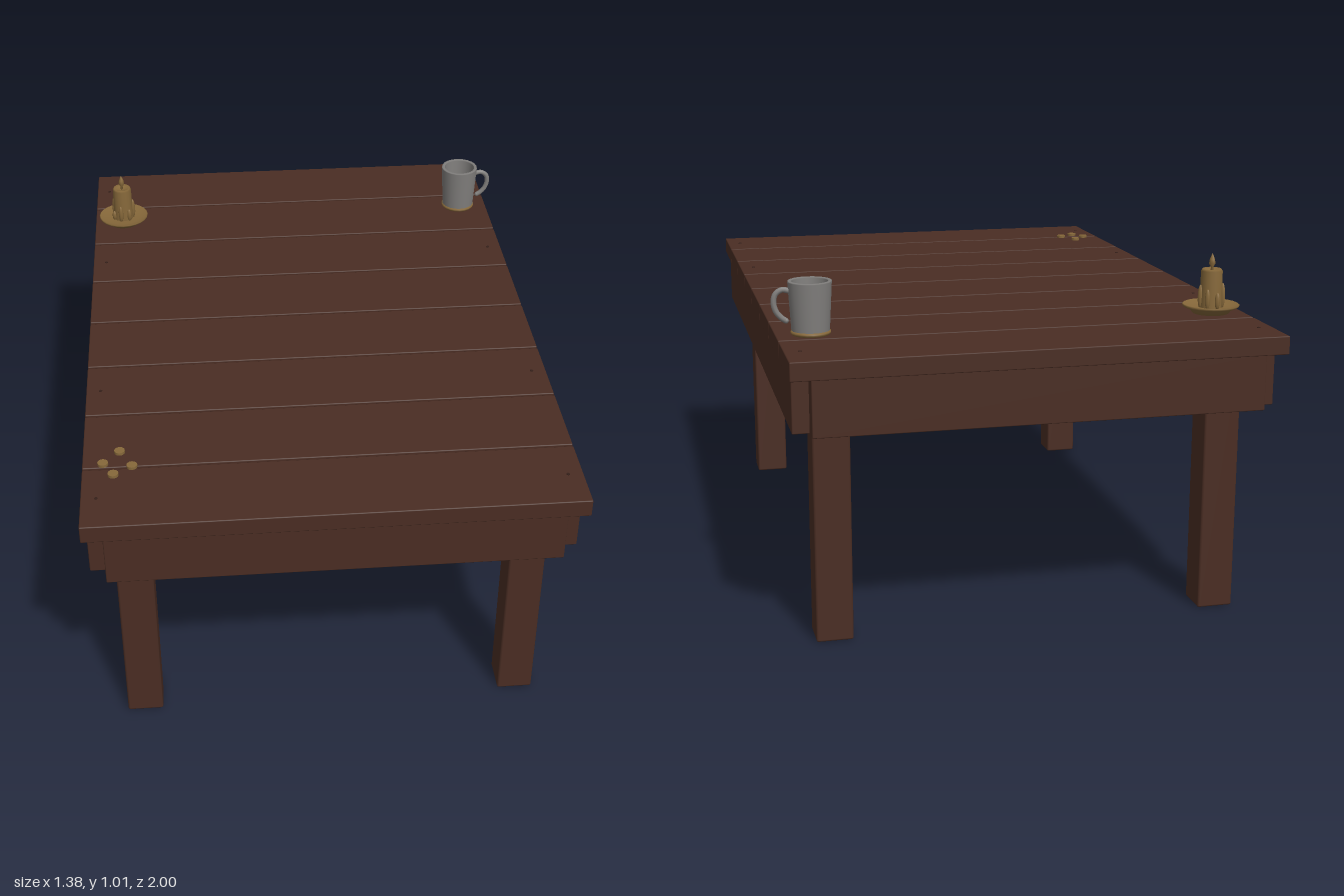
import * as THREE from 'three';
import { RoundedBoxGeometry } from 'three/addons/geometries/RoundedBoxGeometry.js';

export function createModel() {
  const model = new THREE.Group();
  model.name = 'tableWithMugAndCandle';
  const wood = new THREE.MeshStandardMaterial({ name: 'dark wood', color: 0x4a2d23 });
  const brass = new THREE.MeshStandardMaterial({ name: 'old brass', color: 0x86683a });
  const pewter = new THREE.MeshStandardMaterial({ name: 'pewter', color: 0x807e7c });
  const dark = new THREE.MeshStandardMaterial({ name: 'nail dark', color: 0x35201a });

  const add = (parent, name, geometry, material, x = 0, y = 0, z = 0) => {
    const mesh = new THREE.Mesh(geometry, material);
    mesh.name = name;
    mesh.position.set(x, y, z);
    parent.add(mesh);
    return mesh;
  };
  // Box given by its extents, with slightly eased edges
  const board = (name, x0, x1, y0, y1, z0, z1, r = 0.003) =>
    add(model, name, new RoundedBoxGeometry(x1 - x0, y1 - y0, z1 - z0, 1, r), wood,
      (x0 + x1) / 2, (y0 + y1) / 2, (z0 + z1) / 2);
  const lathe = (points, sides) =>
    new THREE.LatheGeometry(points.map(([x, y]) => new THREE.Vector2(x, y)), sides);

  // Table top: eight planks with narrow gaps
  const top = 0.837;
  for (let i = 0; i < 8; i++) {
    const z = -1 + i * 0.25;
    board('plank', -0.692, 0.675, 0.785, top, z + (i ? 0.004 : 0), z + (i < 7 ? 0.246 : 0.25));
  }

  // Nail heads near the plank ends
  for (const x of [-0.65, 0.632]) {
    for (const z of [-0.88, -0.375, 0.375, 0.88]) {
      add(model, 'nail', new THREE.CylinderGeometry(0.005, 0.005, 0.002, 8), dark, x, top + 0.0005, z);
    }
  }

  // Apron boards with notched corners
  for (const s of [-1, 1]) {
    const z = s * 0.95;
    board('endApron', -0.635, 0.618, 0.626, 0.787, z - 0.032, z + 0.032);
    const x = -0.008 + s * 0.641;
    board('sideApron', x - 0.032, x + 0.032, 0.626, 0.787, -0.93, 0.93);
  }

  // Square legs
  for (const x of [-0.566, 0.551]) {
    for (const z of [-0.8, 0.8]) {
      board('leg', x - 0.052, x + 0.052, 0, 0.787, z - 0.051, z + 0.051, 0.006);
    }
  }

  // Mug: hollow tapered body, brass foot and bowed handle
  const mug = new THREE.Group();
  mug.name = 'mug';
  mug.position.set(0.577, top, -0.68);
  model.add(mug);
  add(mug, 'mugBody', lathe([
    [0.053, 0.01], [0.061, 0.146], [0.06, 0.149], [0.052, 0.149], [0.05, 0.146], [0.045, 0.012],
  ], 20), pewter);
  add(mug, 'mugFoot', lathe([
    [0.045, 0], [0.052, 0], [0.056, 0.004], [0.056, 0.008], [0.053, 0.012], [0.045, 0.012], [0.045, 0],
  ], 20), brass);
  add(mug, 'mugInside', new THREE.CylinderGeometry(0.046, 0.046, 0.006, 20), wood, 0, 0.006, 0);
  const handle = new THREE.CatmullRomCurve3([
    [0.056, 0.122], [0.076, 0.126], [0.094, 0.115], [0.1, 0.094], [0.094, 0.067], [0.08, 0.049], [0.067, 0.04],
  ].map(([x, y]) => new THREE.Vector3(x, y, 0)));
  add(mug, 'mugHandle', new THREE.TubeGeometry(handle, 20, 0.008, 8), pewter);
  add(mug, 'handleTip', new THREE.SphereGeometry(0.008, 8, 6), pewter, 0.067, 0.04, 0);

  // Candle on a shallow dish
  const candle = new THREE.Group();
  candle.name = 'candle';
  candle.position.set(-0.595, top, -0.657);
  model.add(candle);
  add(candle, 'dish', lathe([
    [0, 0], [0.052, 0], [0.06, 0.01], [0.081, 0.02], [0.083, 0.025], [0.08, 0.027], [0.056, 0.018], [0, 0.016],
  ], 24), brass);
  add(candle, 'wax', lathe([
    [0.033, 0.01], [0.031, 0.124], [0.027, 0.13], [0.021, 0.126], [0, 0.121],
  ], 16), brass);
  // Wax drips of varied height running down the sides
  [0.07, 0.045, 0.06, 0.035, 0.075, 0.05, 0.06].forEach((h, i) => {
    const a = (i / 7) * Math.PI * 2;
    const drip = add(candle, 'waxDrip', new THREE.SphereGeometry(1, 8, 8), brass,
      Math.cos(a) * 0.033, 0.014 + h / 2, Math.sin(a) * 0.033);
    drip.scale.set(0.008, h / 2, 0.008);
  });
  add(candle, 'flame', lathe([
    [0, 0.12], [0.004, 0.126], [0.004, 0.135], [0.01, 0.145], [0.008, 0.157], [0.003, 0.169], [0, 0.175],
  ], 8), brass);

  // Loose coins
  for (const [x, z] of [[-0.59, 0.68], [-0.635, 0.732], [-0.555, 0.748], [-0.606, 0.782]]) {
    add(model, 'coin', new THREE.CylinderGeometry(0.015, 0.015, 0.008, 12), brass, x, top + 0.004, z);
  }
  return model;
}
